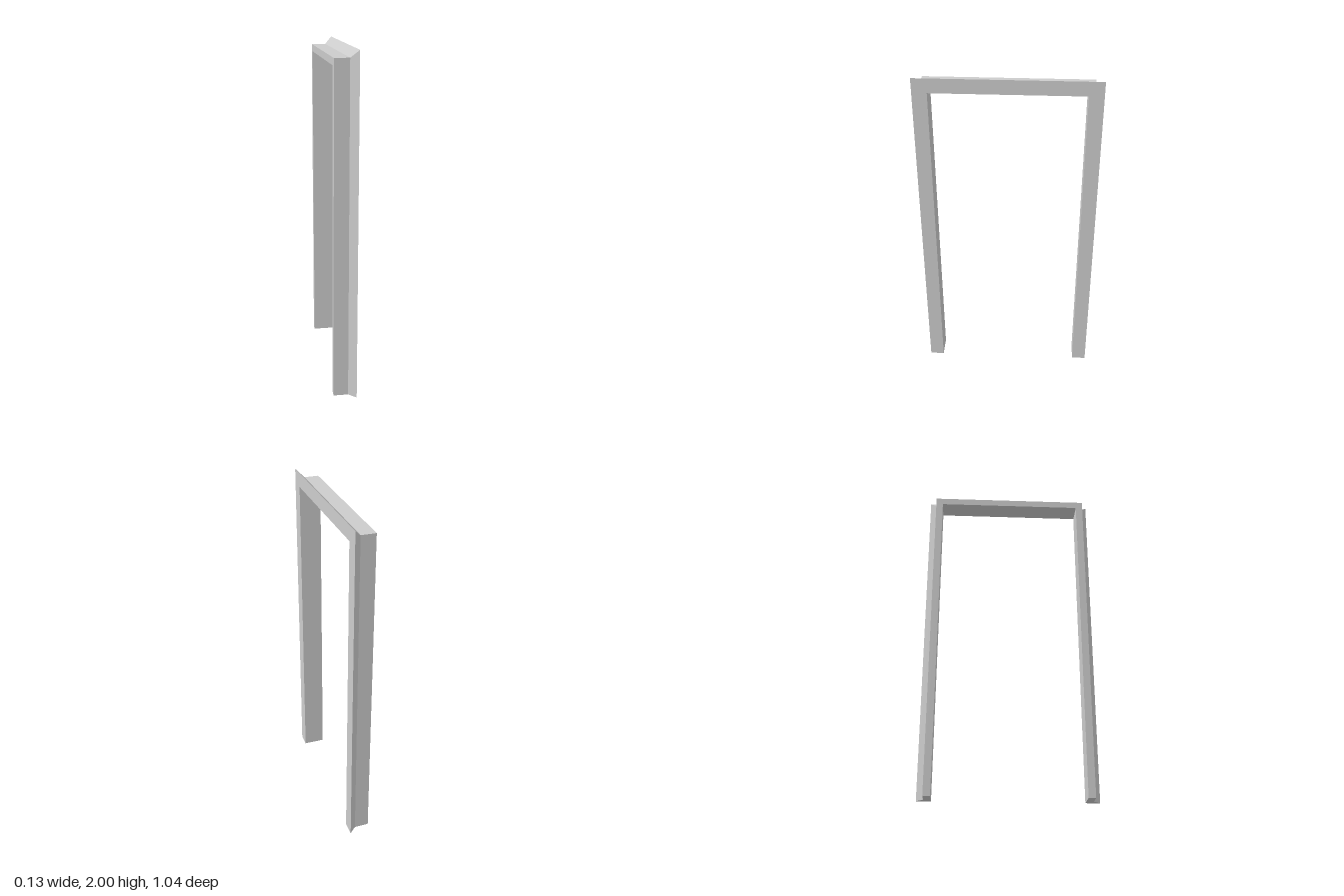
import * as THREE from 'three';

// Trim profile: [x, distance outward from the opening]
const PROFILE = [
  [0.065, 0], [0.065, 0.085], [0.021, 0.042], [-0.065, 0.042], [-0.065, 0],
];
const HALF_WIDTH = 0.436, HEIGHT = 1.915;

// Profile placed at a foot or at a mitred top corner of the opening
function section(side, atTop) {
  return PROFILE.map(([x, d]) => [x, atTop ? HEIGHT + d : 0, side * (HALF_WIDTH + d)]);
}

// One straight length of trim between two sections
function trim(name, from, to, material, cap) {
  const pos = [];
  const tri = (...points) => points.forEach((p) => pos.push(...p));
  const n = PROFILE.length;
  for (let i = 0; i < n; i++) {
    const j = (i + 1) % n;
    tri(from[j], from[i], to[i]);
    tri(from[j], to[i], to[j]);
  }
  // End cap, fanned from the inner corner of the flange
  for (const [a, b, c] of [[2, 3, 4], [2, 4, 0], [2, 0, 1]]) {
    if (cap === 'start') tri(from[a], from[b], from[c]);
    if (cap === 'end') tri(to[a], to[c], to[b]);
  }
  const geometry = new THREE.BufferGeometry();
  geometry.setAttribute('position', new THREE.Float32BufferAttribute(pos, 3));
  geometry.computeVertexNormals();
  const mesh = new THREE.Mesh(geometry, material);
  mesh.name = name;
  return mesh;
}

export function createModel() {
  const group = new THREE.Group();
  group.name = 'doorFrame';
  const grey = new THREE.MeshStandardMaterial({ color: 0xcccccc });
  grey.name = 'light grey';

  // Jamb, lintel and jamb follow the opening and meet at mitred corners
  const stations = [section(1, false), section(1, true), section(-1, true), section(-1, false)];
  group.add(
    trim('frontJamb', stations[0], stations[1], grey, 'start'),
    trim('lintel', stations[1], stations[2], grey),
    trim('backJamb', stations[2], stations[3], grey, 'end'),
  );
  return group;
}
